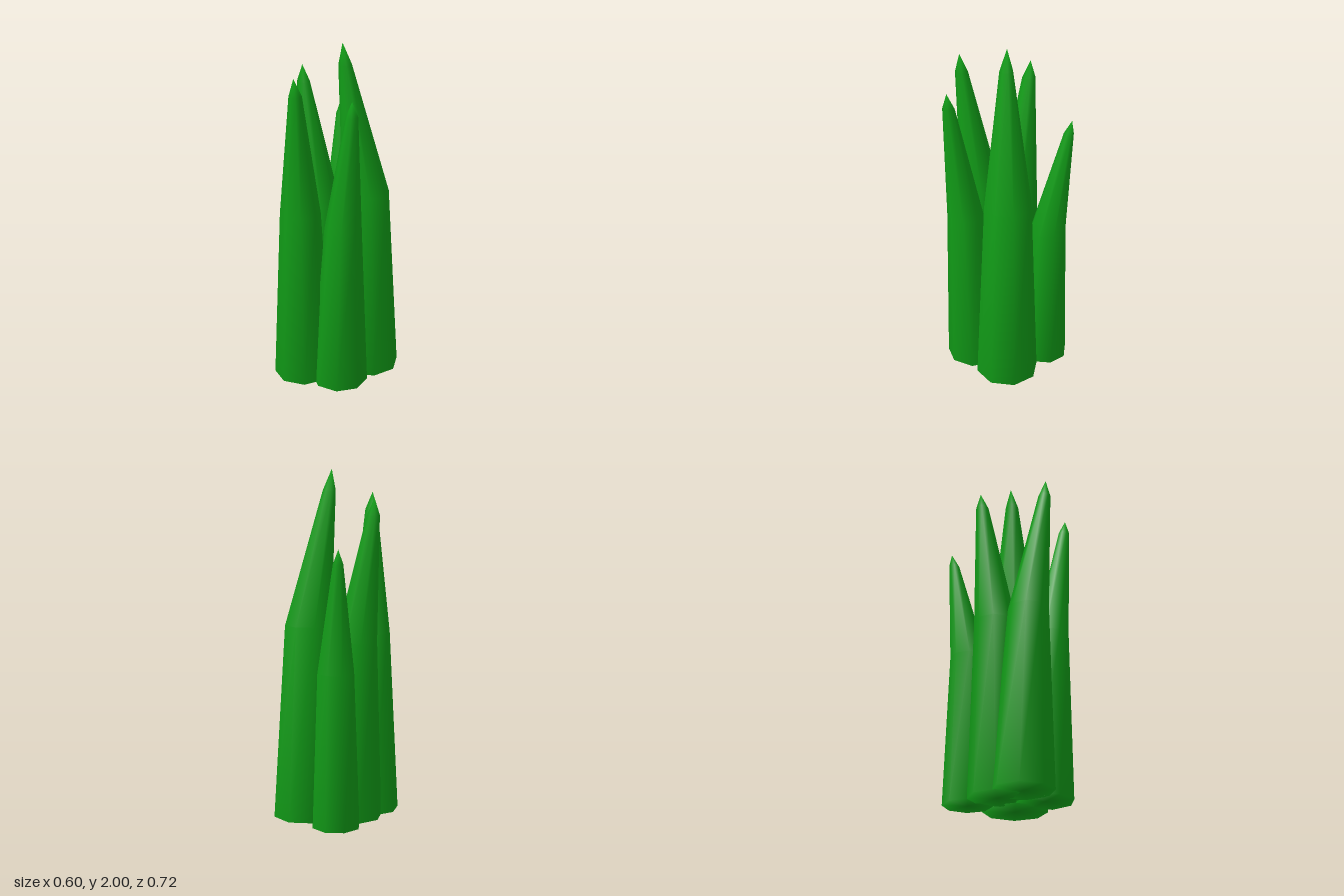
import * as THREE from 'three';

const SIDES = 8;

// Each blade: octagonal rings [x, y, z, radius], pointed tip [x, y, z], ring rotation in degrees
const BLADES = [
  { name: 'backRightBlade', turn: 37, tip: [-0.24, 1.57, -0.32],
    rings: [[-0.16, 0, -0.222, 0.14], [-0.163, 0.88, -0.23, 0.108], [-0.23, 1.49, -0.307, 0.03]] },
  { name: 'middleRightBlade', turn: 0, tip: [-0.272, 1.84, -0.01],
    rings: [[-0.132, 0, 0, 0.165], [-0.152, 1.03, -0.008, 0.122], [-0.262, 1.745, -0.006, 0.037]] },
  { name: 'frontRightBlade', turn: 3, tip: [-0.05, 1.87, 0.32],
    rings: [[-0.12, 0, 0.19, 0.172], [-0.102, 1.05, 0.22, 0.116], [-0.05, 1.77, 0.307, 0.036]] },
  { name: 'backLeftBlade', turn: -5, tip: [-0.008, 2, -0.043],
    rings: [[0.113, 0, -0.143, 0.185], [0.095, 1.12, -0.13, 0.137], [0.006, 1.88, -0.048, 0.038]] },
  { name: 'frontLeftBlade', turn: 13, tip: [0.236, 1.765, 0.18],
    rings: [[0.102, 0, 0.115, 0.164], [0.143, 0.99, 0.138, 0.106], [0.23, 1.68, 0.173, 0.034]] },
];

// Skin the rings, then close the blade with a flat base and a pointed tip
function bladeGeometry({ rings, tip, turn }) {
  const positions = [];
  const index = [];
  for (const [x, y, z, r] of rings) {
    for (let i = 0; i < SIDES; i++) {
      const a = THREE.MathUtils.degToRad(turn) + (i / SIDES) * Math.PI * 2;
      positions.push(x + r * Math.cos(a), y, z + r * Math.sin(a));
    }
  }
  const tipIndex = rings.length * SIDES;
  const baseIndex = tipIndex + 1;
  positions.push(...tip, ...rings[0].slice(0, 3));

  const last = (rings.length - 1) * SIDES;
  for (let i = 0; i < SIDES; i++) {
    const j = (i + 1) % SIDES;
    for (let k = 0; k < last; k += SIDES) {
      index.push(k + i, k + SIDES + i, k + j);
      index.push(k + j, k + SIDES + i, k + SIDES + j);
    }
    index.push(last + i, tipIndex, last + j);
    index.push(i, j, baseIndex);
  }
  const geometry = new THREE.BufferGeometry();
  geometry.setAttribute('position', new THREE.Float32BufferAttribute(positions, 3));
  geometry.setIndex(index);
  geometry.computeVertexNormals();
  return geometry;
}

export function createModel() {
  const group = new THREE.Group();
  group.name = 'grassTuft';
  const green = new THREE.MeshStandardMaterial({ color: 0x119c17 });
  for (const blade of BLADES) {
    const mesh = new THREE.Mesh(bladeGeometry(blade), green);
    mesh.name = blade.name;
    group.add(mesh);
  }
  return group;
}
